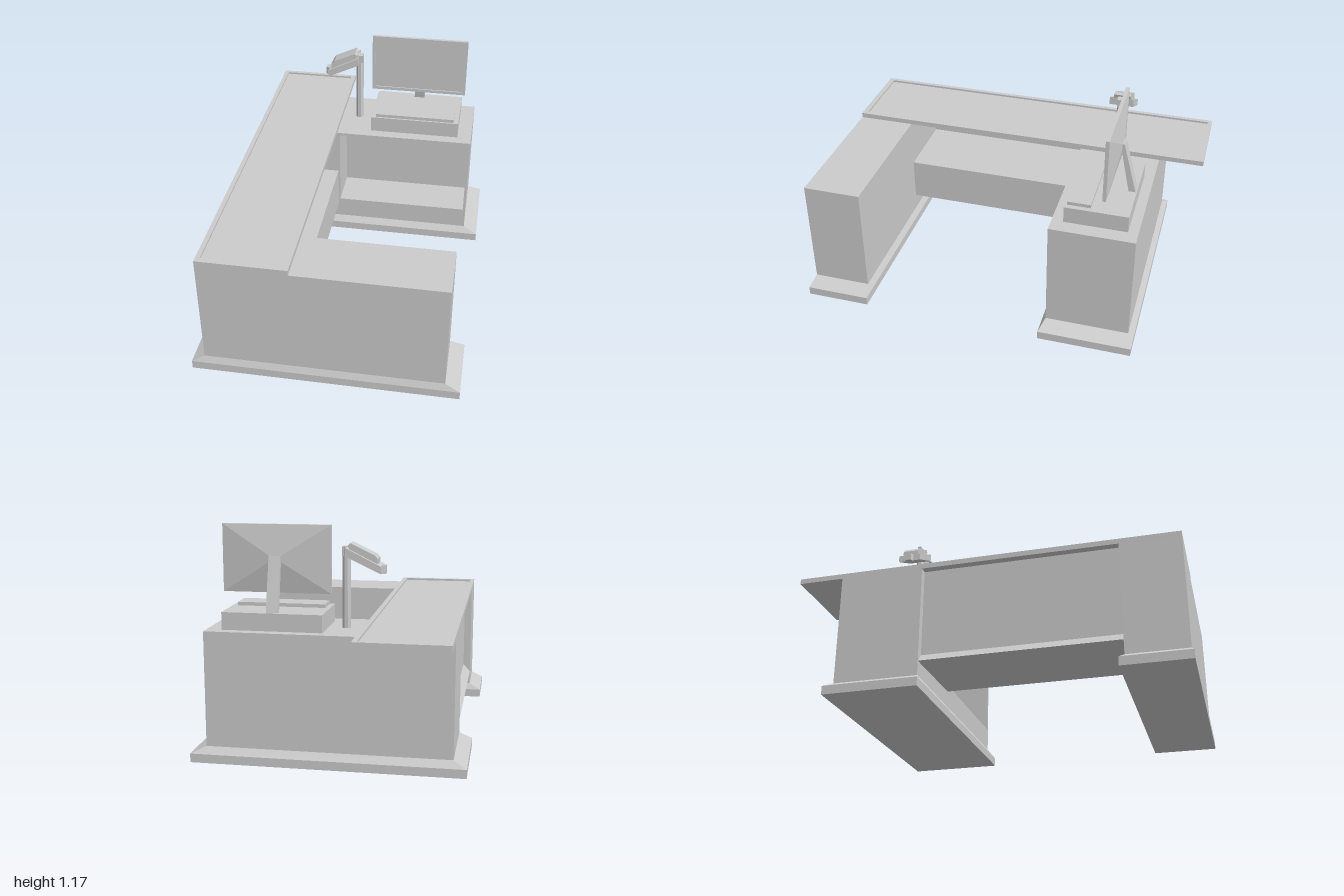
import * as THREE from 'three';

const mat = new THREE.MeshStandardMaterial({ color: 0xcccccc, flatShading: true });

function add(group, name, geo) {
  const mesh = new THREE.Mesh(geo, mat);
  mesh.name = name;
  group.add(mesh);
  return mesh;
}

// Box geometry from its limits on each axis
function block(x0, x1, y0, y1, z0, z1) {
  return new THREE.BoxGeometry(x1 - x0, y1 - y0, z1 - z0)
    .translate((x0 + x1) / 2, (y0 + y1) / 2, (z0 + z1) / 2);
}

// Moves one z or y end of a block onto a smaller rectangle
function taper(geo, axis, end, limits) {
  geo.computeBoundingBox();
  const c = geo.boundingBox.getCenter(new THREE.Vector3());
  const p = geo.attributes.position;
  const v = new THREE.Vector3();
  for (let i = 0; i < p.count; i++) {
    v.fromBufferAttribute(p, i);
    if (Math.sign(v[axis] - c[axis]) !== end) continue;
    for (const k of Object.keys(limits)) v[k] = limits[k][v[k] < c[k] ? 0 : 1];
    p.setXYZ(i, v.x, v.y, v.z);
  }
  geo.computeVertexNormals();
  return geo;
}

// Extrudes an outline in the xy plane from z0 to z1
function prism(points, z0, z1, hole) {
  const shape = new THREE.Shape(points.map(([x, y]) => new THREE.Vector2(x, y)));
  if (hole) shape.holes.push(new THREE.Path(hole.map(([x, y]) => new THREE.Vector2(x, y))));
  return new THREE.ExtrudeGeometry(shape, { depth: z1 - z0, bevelEnabled: false }).translate(0, 0, z0);
}

const rect = (x0, x1, y0, y1) => [[x0, y0], [x1, y0], [x1, y1], [x0, y1]];

function plinth(group, x0, x1, z0, z1, topX, topZ) {
  add(group, 'plinth', block(x0, x1, 0, 0.045, z0, z1));
  add(group, 'plinthBevel', taper(block(x0, x1, 0.045, 0.08, z0, z1), 'y', 1, { x: topX, z: topZ }));
}

export function createModel() {
  const model = new THREE.Group();
  model.name = 'serviceCounter';

  // Front pedestal
  const front = new THREE.Group();
  front.name = 'frontPedestal';
  plinth(front, -0.685, 0.675, 0.66, 1, [-0.62, 0.6], [0.68, 0.985]);
  add(front, 'pedestalBody', block(-0.62, 0.6, 0.08, 0.662, 0.68, 0.985));

  // Back pedestal with an open cubby facing forward
  const back = new THREE.Group();
  back.name = 'backPedestal';
  plinth(back, -0.685, 0.682, -0.79, -0.3, [-0.62, 0.605], [-0.762, -0.325]);
  add(back, 'pedestalBody', block(-0.62, 0.605, 0.08, 0.662, -0.762, -0.56));
  add(back, 'cubbySurround', prism(rect(-0.62, 0.605, 0.08, 0.662), -0.56, -0.325,
    rect(-0.15, 0.592, 0.2, 0.648)));

  // Connecting panel with an inner shelf box and a sloped outer sill
  add(model, 'connectingPanel', prism([
    [-0.62, 0.155], [-0.16, 0.165], [-0.16, 0.4], [-0.56, 0.4],
    [-0.56, 0.665], [-0.58, 0.665], [-0.58, 0.2],
  ], -0.325, 0.68));

  // Long counter top with a raised rim
  const counter = new THREE.Group();
  counter.name = 'counterTop';
  add(counter, 'counterSlab', block(-0.62, -0.165, 0.662, 0.678, -1, 0.985));
  add(counter, 'counterRim', prism(rect(-0.62, -0.165, -0.985, 1), 0, 0.011,
    rect(-0.597, -0.19, -0.957, 0.978)).rotateX(-Math.PI / 2).translate(0, 0.678, 0));

  // Computer case and keyboard
  add(model, 'computerCase', block(0.025, 0.527, 0.662, 0.75, -0.71, -0.385));
  add(model, 'keyboard', block(0.05, 0.5, 0.75, 0.768, -0.515, -0.395));

  // Monitor: bezel, screen, tapered back and leaning stand
  const monitor = new THREE.Group();
  monitor.name = 'monitor';
  add(monitor, 'bezel', prism(rect(0.002, 0.547, 0.835, 1.172), -0.595, -0.577,
    rect(0.02, 0.53, 0.852, 1.155)));
  add(monitor, 'screen', block(0.02, 0.53, 0.852, 1.155, -0.595, -0.584));
  add(monitor, 'monitorBack', taper(block(0.002, 0.547, 0.835, 1.172, -0.622, -0.595), 'z', -1,
    { x: [0.247, 0.305], y: [0.99, 1.02] }));
  add(monitor, 'monitorStand', taper(block(0.247, 0.305, 0.75, 1.02, -0.703, -0.668), 'y', 1,
    { z: [-0.632, -0.612] }));

  // Scanner: octagonal post with a tilted head
  const scanner = new THREE.Group();
  scanner.name = 'scanner';
  add(scanner, 'scannerPost', new THREE.CylinderGeometry(0.022, 0.022, 0.405, 8)
    .rotateY(Math.PI / 8).translate(-0.066, 0.8625, -0.548));
  add(scanner, 'scannerHead', prism(
    [[-0.243, 0.94], [-0.07, 1.022], [-0.07, 1.064], [-0.243, 0.977]], -0.61, -0.485));
  add(scanner, 'scannerLid', prism(
    [[-0.225, 0.986], [-0.085, 1.056], [-0.08, 1.076], [-0.09, 1.086], [-0.21, 1.03], [-0.225, 1.012]],
    -0.592, -0.505));
  add(scanner, 'scannerTip', taper(block(-0.262, -0.24, 0.936, 0.978, -0.572, -0.524), 'x', -1,
    { z: [-0.563, -0.533] }));
  add(scanner, 'postCap', block(-0.088, -0.046, 1.02, 1.066, -0.568, -0.528));

  model.add(front, back, counter, monitor, scanner);
  return model;
}
